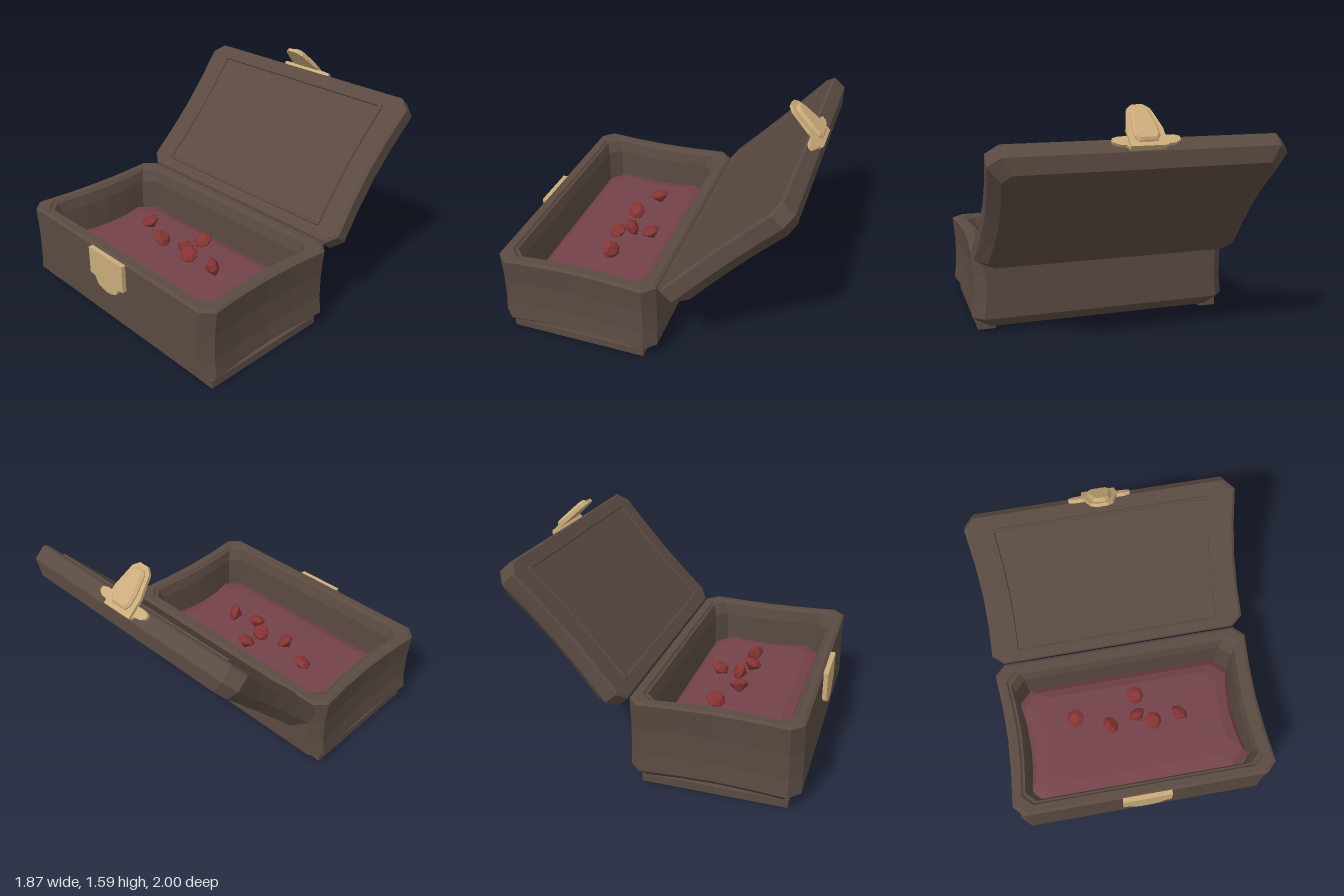
import * as THREE from 'three';

const wood = new THREE.MeshStandardMaterial({ color: 0x5a4a42 });
wood.name = 'dark wood';
const gold = new THREE.MeshStandardMaterial({ color: 0xcbac7b });
gold.name = 'brass';
const cloth = new THREE.MeshStandardMaterial({ color: 0x74424a });
cloth.name = 'wine cloth';
const ruby = new THREE.MeshStandardMaterial({ color: 0x863434 });
ruby.name = 'ruby';

// Rectangle outline with cut corners and short sides pinched inward
function ring(hx, hz, cut, y, pinch = 0.03) {
  const pts = [];
  const steps = 4;
  for (const s of [1, -1]) {
    pts.push([-s * (hx - cut), y, s * hz], [s * (hx - cut), y, s * hz]);
    for (let i = 0; i <= steps; i++) {
      const t = i / steps;
      const x = hx - pinch * Math.sin(Math.PI * t);
      pts.push([s * x, y, s * (hz - cut) * (1 - 2 * t)]);
    }
  }
  return pts;
}

// Joins a stack of rings into one closed, faceted surface
function loft(rings, startY, endY) {
  const pos = [];
  const tri = (a, b, c) => pos.push(...a, ...b, ...c);
  const n = rings[0].length;
  const last = rings[rings.length - 1];
  for (let i = 0; i < n; i++) {
    const j = (i + 1) % n;
    tri(rings[0][j], rings[0][i], [0, startY, 0]);
    for (let k = 0; k < rings.length - 1; k++) {
      const a = rings[k], b = rings[k + 1];
      tri(a[i], a[j], b[j]);
      tri(a[i], b[j], b[i]);
    }
    tri(last[i], last[j], [0, endY, 0]);
  }
  const g = new THREE.BufferGeometry();
  g.setAttribute('position', new THREE.Float32BufferAttribute(pos, 3));
  g.computeVertexNormals();
  return g;
}

// Plate mirrored about x = 0 from its right-hand outline, listed top to bottom
function plate(half, depth, bevel = 0) {
  const left = half.filter(p => p[0] > 0).map(([x, y]) => [-x, y]).reverse();
  const shape = new THREE.Shape([...half, ...left].map(p => new THREE.Vector2(...p)));
  return new THREE.ExtrudeGeometry(shape, {
    depth, bevelEnabled: bevel > 0, bevelSize: bevel, bevelThickness: bevel, bevelOffset: -bevel, bevelSegments: 1,
  });
}

function add(parent, name, geometry, material, x = 0, y = 0, z = 0) {
  const m = new THREE.Mesh(geometry, material);
  m.name = name;
  m.position.set(x, y, z);
  parent.add(m);
  return m;
}

export function createModel() {
  const model = new THREE.Group();
  model.name = 'jewelleryBox';

  // Hollow box: underside, waisted walls, rim, then inner walls and floor
  add(model, 'box', loft([
    ring(0.86, 0.48, 0.06, 0.02),
    ring(0.935, 0.56, 0.075, 0.1),
    ring(0.92, 0.56, 0.075, 0.22),
    ring(0.918, 0.56, 0.075, 0.4),
    ring(0.935, 0.56, 0.075, 0.583),
    ring(0.915, 0.54, 0.07, 0.595),
    ring(0.865, 0.495, 0.07, 0.595),
    ring(0.85, 0.483, 0.07, 0.58),
    ring(0.835, 0.47, 0.07, 0.58),
    ring(0.815, 0.448, 0.08, 0.5),
    ring(0.81, 0.445, 0.08, 0.2),
  ], 0.02, 0.2), wood, 0, 0, 0.41);

  // Runners under both ends
  for (const s of [1, -1]) {
    add(model, 'runner', new THREE.BoxGeometry(0.125, 0.055, 0.96), wood, s * 0.8325, 0.0275, 0.415);
  }

  // Padded lining
  add(model, 'cushion', loft([
    ring(0.8, 0.43, 0.1, 0.21, 0.04),
    ring(0.81, 0.437, 0.1, 0.27, 0.04),
    ring(0.775, 0.39, 0.1, 0.315, 0.04),
    ring(0.69, 0.33, 0.1, 0.338, 0.03),
    ring(0.4, 0.16, 0.06, 0.352, 0.01),
  ], 0.21, 0.355), cloth, 0, 0, 0.41);

  // Loose cut gems: x, y, z, then tilt about x and z
  const gemProfile = [[0, -0.055], [0.065, 0], [0.065, 0.012], [0.038, 0.038], [0, 0.038]];
  const gemGeometry = new THREE.LatheGeometry(gemProfile.map(p => new THREE.Vector2(...p)), 8).toNonIndexed();
  gemGeometry.computeVertexNormals();
  [
    [-0.41, 0.4, 0.29, 0.3, 0.3],
    [-0.165, 0.4, 0.39, 0.5, -0.9],
    [0.055, 0.395, 0.19, 0.35, 0.1],
    [0.045, 0.395, 0.345, -0.3, -0.9],
    [0.15, 0.415, 0.41, 0.3, 0.25],
    [0.355, 0.4, 0.385, -0.7, 0.8],
  ].forEach(([x, y, z, rx, rz], i) => {
    const gem = add(model, 'gem', gemGeometry, ruby, x, y, z);
    gem.rotation.set(rx, i * 0.7, rz);
  });

  // Strike plate on the box front
  add(model, 'strikePlate', plate([
    [0.175, 0.585], [0.175, 0.39], [0.125, 0.385], [0.095, 0.335], [0.05, 0.318], [0, 0.31],
  ], 0.034), gold, 0, 0, 0.966);

  // Lid, modelled closed and swung open about the back edge
  const lid = new THREE.Group();
  lid.name = 'lid';
  lid.position.set(0, 0.585, -0.15);
  lid.rotation.x = -2.309;
  model.add(lid);

  // Lid shell with a raised moulding around the inner panel
  add(lid, 'lidShell', loft([
    ring(0.735, 0.45, 0.01, 0, 0.02),
    ring(0.74, 0.455, 0.01, -0.012, 0.02),
    ring(0.762, 0.47, 0.01, -0.012, 0.02),
    ring(0.765, 0.472, 0.01, 0, 0.02),
    ring(0.915, 0.545, 0.07, 0),
    ring(0.935, 0.56, 0.075, 0.014),
    ring(0.935, 0.56, 0.075, 0.11),
    ring(0.86, 0.487, 0.06, 0.184),
  ], 0, 0.184), wood, 0, 0, 0.56);

  // Clasp: mounting bar, tongue and raised boss
  add(lid, 'claspBar', plate([
    [0.11, 0.1], [0.13, 0.075], [0.175, 0.07], [0.21, 0.05], [0.21, 0.02], [0.17, 0.008],
  ], 0.025), gold, 0, 0, 1.117);
  add(lid, 'claspTongue', plate([
    [0.115, 0.1], [0.115, -0.03], [0.075, -0.185], [0.035, -0.22],
  ], 0.022), gold, 0, 0, 1.138);
  add(lid, 'claspBoss', plate([
    [0.055, 0.07], [0.08, 0.035], [0.08, -0.04], [0.055, -0.165], [0.025, -0.19],
  ], 0.012, 0.016), gold, 0, 0, 1.156);

  return model;
}
